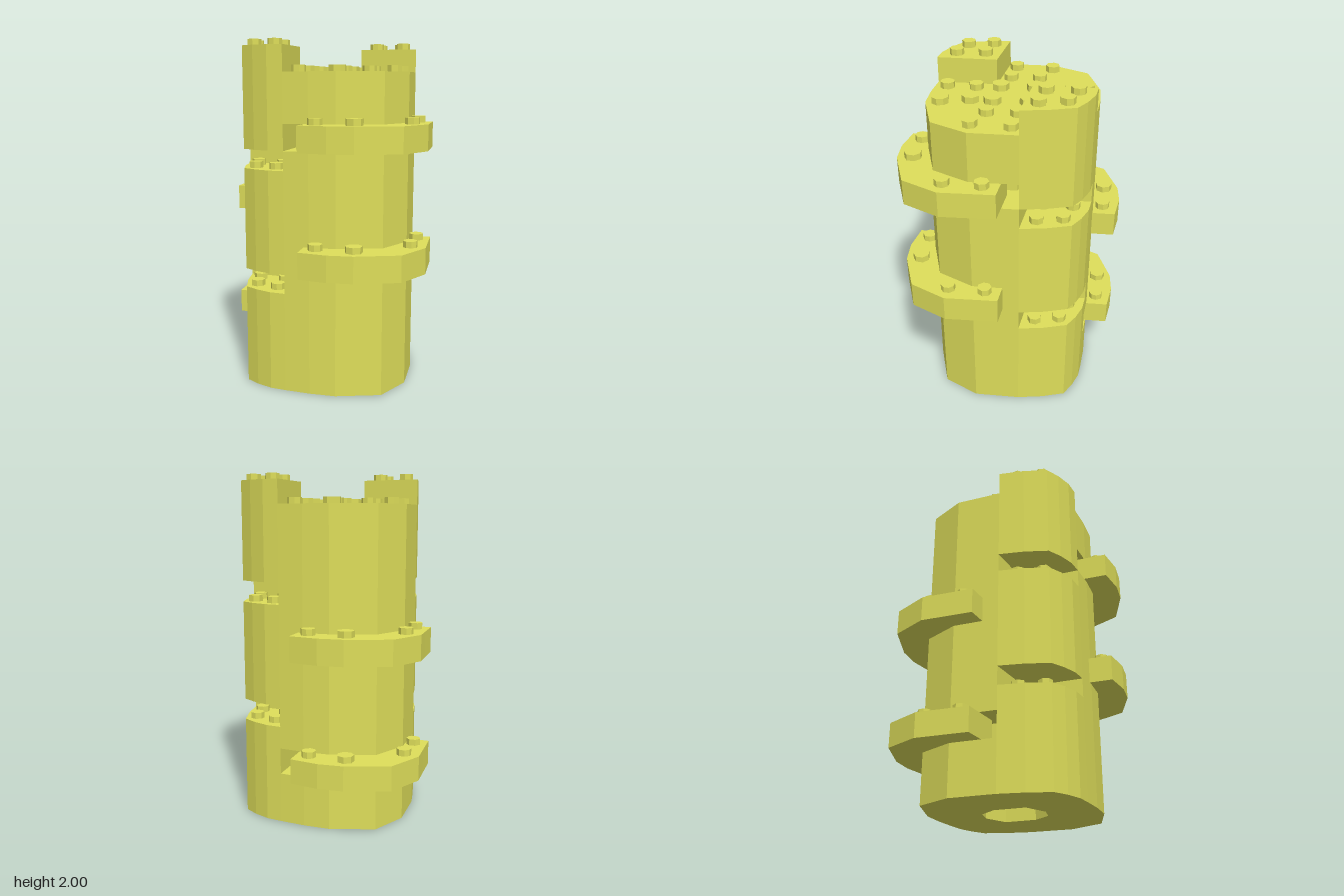
import * as THREE from 'three';

const material = new THREE.MeshStandardMaterial({ color: 0xdede5a, flatShading: true, side: THREE.DoubleSide });

// Plan outlines as [x, z] for one half of the tower; the other half is turned 180 degrees
const OUTER = [[0.42, -0.265], [0.525, -0.02], [0.51, 0.21], [0.31, 0.38], [0.17, 0.44], [0.03, 0.485]];
const BORE = [[-0.1, 0.17], [0.05, 0.18], [0.14, 0.12], [0.17, 0], [0.1, -0.17]];
const CORNER = [[0.03, 0.485], [-0.06, 0.51], [-0.16, 0.512], [-0.25, 0.498], [-0.34, 0.39], [-0.42, 0.265], [-0.1, 0.17]];
const LEDGE = [[0.57, -0.215], [0.64, -0.06], [0.695, 0.06], [0.68, 0.29], [0.49, 0.465], [0.36, 0.53], [0.195, 0.57],
  [0.07, 0.28], [0.25, 0.24], [0.32, 0.13], [0.33, -0.14]];

// Stud positions
const BODY_STUDS = [[0.37, -0.19], [0.21, -0.14], [0.055, -0.12, 1], [0.28, 0.01], [0.445, 0.01], [0.135, 0.06, 1],
  [0.175, 0.175, 1], [0.27, 0.31, 1], [0.01, 0.24], [0.07, 0.395]];
const CORNER_STUDS = [[-0.305, 0.31], [-0.145, 0.27], [-0.22, 0.43], [-0.075, 0.42]];
const LEDGE_STUDS = [[0.535, -0.11], [0.61, 0.085], [0.44, 0.39, 1], [0.24, 0.47]];

// Vertical prism over a plan outline
function prism(name, points, y0, y1) {
  const shape = new THREE.Shape(points.map(([x, z]) => new THREE.Vector2(x, -z)));
  const geometry = new THREE.ExtrudeGeometry(shape, { depth: y1 - y0, bevelEnabled: false });
  geometry.rotateX(-Math.PI / 2).translate(0, y0, 0);
  const mesh = new THREE.Mesh(geometry, material);
  mesh.name = name;
  return mesh;
}

// Low-sided studs standing on a surface
function studs(name, spots, y) {
  const group = new THREE.Group();
  group.name = name;
  spots.forEach(([x, z, large], i) => {
    const r = large ? 0.049 : 0.041;
    const stud = new THREE.Mesh(new THREE.CylinderGeometry(r, r, 0.05, 7 + (i % 2)), material);
    stud.name = 'stud';
    stud.position.set(x, y + 0.011, z);
    stud.rotation.y = i * 0.7;
    group.add(stud);
  });
  return group;
}

// One half: hollow wall, closed top, curved ledges and a stacked corner column
function towerHalf(name, groove, ledges, drop) {
  const half = new THREE.Group();
  half.name = name;
  const wall = [...OUTER, ...BORE];
  const core = [...OUTER.map(([x, z]) => [x * 0.6, z * 0.6]), ...BORE];
  const cap = [...OUTER, BORE[0], BORE[BORE.length - 1]];

  // Wall, narrowed to a core in the groove
  half.add(prism('lowerWall', wall, 0, groove[0]));
  half.add(prism('grooveCore', core, groove[0], groove[1]));
  if (groove[1] < 1.54) half.add(prism('upperWall', wall, groove[1], 1.54));
  half.add(prism('topSlab', cap, 1.54, 1.82));
  half.add(studs('topStuds', BODY_STUDS, 1.82));

  for (const [y0, y1] of ledges) {
    half.add(prism('ledge', LEDGE, y0, y1));
    half.add(studs('ledgeStuds', LEDGE_STUDS, y1));
  }

  // Corner column in three blocks with gaps between them
  for (const [y0, y1] of [[0, 0.58], [0.69, 1.28], [1.39, 1.965]]) {
    half.add(prism('cornerBlock', CORNER, y0, y1 - drop));
    half.add(studs('cornerStuds', CORNER_STUDS, y1 - drop));
  }
  return half;
}

export function createModel() {
  const model = new THREE.Group();
  model.name = 'studdedTower';
  const left = towerHalf('leftHalf', [1.39, 1.54], [[0.71, 0.86], [1.395, 1.54]], 0);
  const right = towerHalf('rightHalf', [0.29, 0.44], [[0.295, 0.435], [0.975, 1.12]], 0.012);
  right.rotation.y = Math.PI;
  model.add(left, right);
  return model;
}
